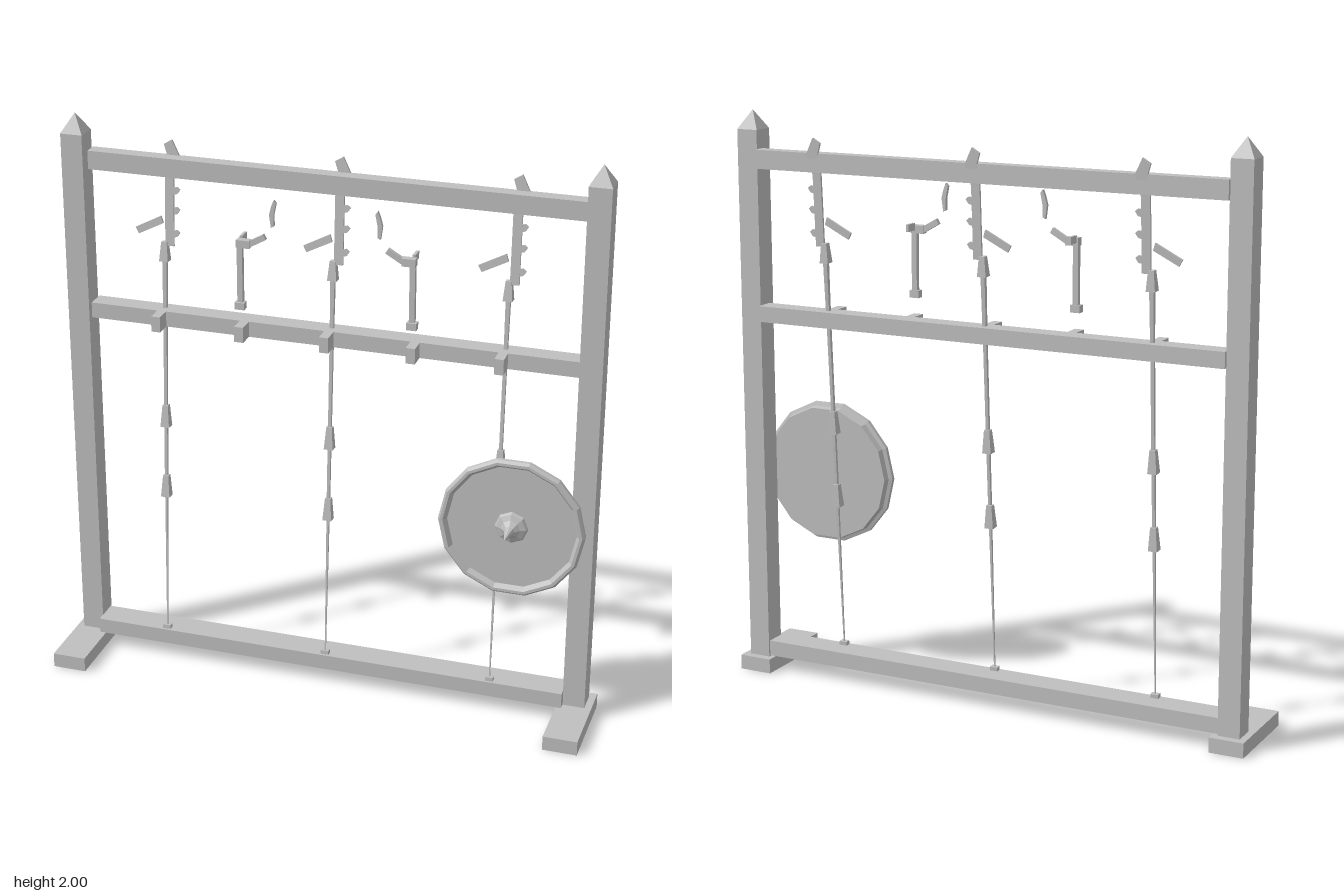
import * as THREE from 'three';

const grey = new THREE.MeshStandardMaterial({ color: 0xbfbfbf, flatShading: true });
grey.name = 'plain grey';

function add(parent, name, geometry, x = 0, y = 0, z = 0) {
  const mesh = new THREE.Mesh(geometry, grey);
  mesh.name = name;
  mesh.position.set(x, y, z);
  parent.add(mesh);
  return mesh;
}

// Box given by its limits on each axis
function box(parent, name, x0, x1, y0, y1, z0, z1) {
  return add(parent, name, new THREE.BoxGeometry(x1 - x0, y1 - y0, z1 - z0),
    (x0 + x1) / 2, (y0 + y1) / 2, (z0 + z1) / 2);
}

// Square bar that tapers from one half-width to another along y
function taper(parent, name, bottom, top, y0, y1, x = 0, z = 0) {
  const g = new THREE.CylinderGeometry(top * Math.SQRT2, bottom * Math.SQRT2, y1 - y0, 4);
  g.rotateY(Math.PI / 4);
  return add(parent, name, g, x, (y0 + y1) / 2, z);
}

// Flat plate cut from an outline, centred on z = 0
function plate(parent, name, points, depth) {
  const shape = new THREE.Shape(points.map(([x, y]) => new THREE.Vector2(x, y)));
  const g = new THREE.ExtrudeGeometry(shape, { depth, bevelEnabled: false });
  g.translate(0, 0, -depth / 2);
  return add(parent, name, g);
}

function makeRack() {
  const rack = new THREE.Group();
  rack.name = 'rack';
  for (const s of [-1, 1]) {
    const x = s * 0.8975;
    box(rack, 'foot', s * 0.9 - 0.06, s * 0.9 + 0.06, 0, 0.052, -0.165, 0.165);
    box(rack, 'post', x - 0.0385, x + 0.0385, 0.052, 1.935, -0.137, -0.057);
    taper(rack, 'postPoint', 0.039, 0.0001, 1.935, 2, x, -0.097);
  }
  box(rack, 'bottomBeam', -0.86, 0.86, 0.055, 0.11, -0.13, -0.028);
  box(rack, 'middleBeam', -0.86, 0.86, 1.275, 1.33, -0.15, -0.08);
  box(rack, 'topBeam', -0.86, 0.86, 1.805, 1.87, -0.15, -0.1);
  for (const x of [-0.6, -0.3, 0, 0.3, 0.6])
    box(rack, 'peg', x - 0.016, x + 0.016, 1.275, 1.33, -0.08, -0.022);
  return rack;
}

// Polearm leaning back against the beams
function makePolearm(x) {
  const arm = new THREE.Group();
  arm.name = 'polearm';
  const y0 = 0.11;
  box(arm, 'buttCap', -0.014, 0.014, 0, 0.014, -0.01, 0.01);
  taper(arm, 'lowerShaft', 0.002, 0.0045, 0.014, 0.64 - y0);
  taper(arm, 'middleShaft', 0.005, 0.006, 0.64 - y0, 1.3 - y0);
  taper(arm, 'upperShaft', 0.006, 0.008, 1.3 - y0, 1.56 - y0);
  for (const [a, b] of [[0.63, 0.71], [0.895, 0.975], [1.5, 1.568]])
    taper(arm, 'grip', 0.016, 0.01, a - y0, b - y0);

  const head = new THREE.Group();
  head.name = 'head';
  head.position.y = -y0;
  arm.add(head);
  plate(head, 'blade', [[0.003, 1.555], [0.034, 1.555], [0.034, 1.8],
    [0.055, 1.87], [0.028, 1.925], [0, 1.908], [0.012, 1.87], [0.003, 1.8]], 0.008);
  for (const y of [1.6, 1.68, 1.75])
    plate(head, 'tooth', [[0.033, y - 0.014], [0.046, y - 0.011], [0.056, y + 0.004],
      [0.045, y + 0.013], [0.033, y + 0.011]], 0.006);
  plate(head, 'sideBlade', [[-0.105, 1.609], [-0.093, 1.587], [-0.005, 1.632], [-0.013, 1.657]], 0.008);

  arm.position.set(x, y0, -0.045);
  arm.rotation.x = -Math.atan(0.058);
  return arm;
}

// Small hooked weapon, drawn for the +x side
function makeSickle(side) {
  const sickle = new THREE.Group();
  sickle.name = 'sickle';
  box(sickle, 'pommel', 0.282, 0.316, 1.39, 1.415, -0.057, -0.03);
  box(sickle, 'handle', 0.289, 0.308, 1.415, 1.625, -0.054, -0.037);
  box(sickle, 'collar', 0.262, 0.309, 1.61, 1.637, -0.057, -0.032);
  box(sickle, 'backSpur', 0.293, 0.303, 1.62, 1.645, -0.1, -0.055);
  const arm = box(sickle, 'headArm', 0.206, 0.272, 1.628, 1.648, -0.052, -0.038);
  arm.rotation.z = -0.52;
  const hook = plate(sickle, 'hookTip', [[0.178, 1.785], [0.17, 1.775], [0.178, 1.735],
    [0.178, 1.695], [0.188, 1.69], [0.194, 1.735], [0.186, 1.765]], 0.012);
  hook.position.z = -0.046;
  // Turn the whole piece about y for the other side; thin parts keep their depth
  if (side < 0) {
    for (const m of sickle.children) {
      m.geometry.rotateY(Math.PI);
      m.position.x *= -1;
      m.rotation.z *= -1;
    }
  }
  return sickle;
}

function makeShield() {
  const shield = new THREE.Group();
  shield.name = 'shield';
  const lathe = (name, pts, sides) => {
    const g = new THREE.LatheGeometry(pts.map(([r, z]) => new THREE.Vector2(r, z)), sides, Math.PI / 2);
    g.rotateX(Math.PI / 2);
    return add(shield, name, g);
  };
  // Dished disc with a raised rim
  lathe('disc', [[0, -0.045], [0.236, -0.045], [0.24, -0.022], [0.253, -0.018], [0.253, -0.004],
    [0.245, 0.005], [0.235, 0.005], [0.223, -0.012], [0, -0.012]], 14);
  // Central boss drawn out to a spike
  lathe('spike', [[0.058, -0.012], [0.052, -0.002], [0.034, 0.006], [0.018, 0.022],
    [0.011, 0.045], [0, 0.094]], 8);
  shield.position.set(0.665, 0.733, 0);
  return shield;
}

export function createModel() {
  const model = new THREE.Group();
  model.name = 'weaponRack';
  model.add(makeRack());
  for (const x of [-0.6, 0, 0.6]) model.add(makePolearm(x));
  for (const s of [-1, 1]) model.add(makeSickle(s));
  model.add(makeShield());
  return model;
}
